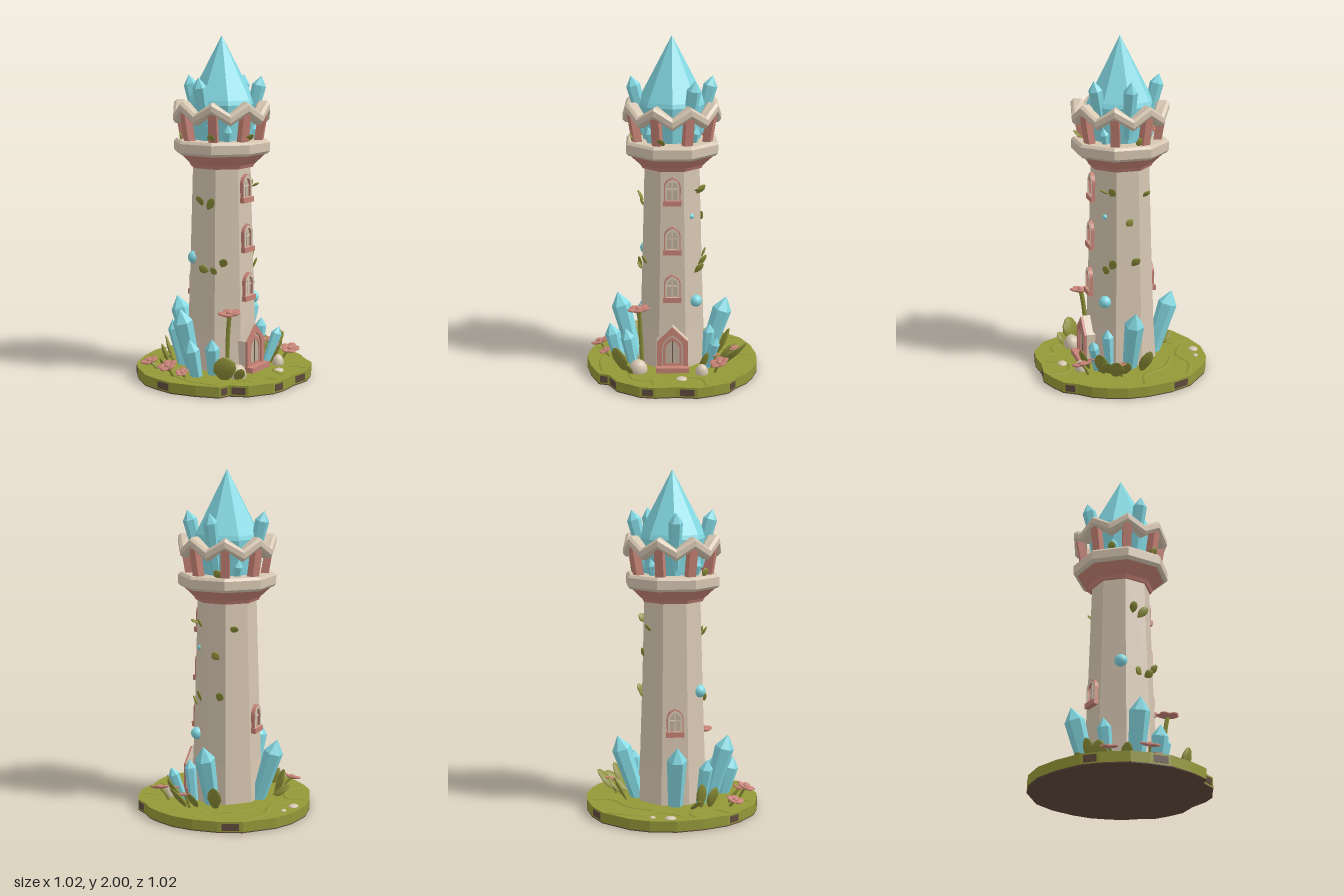
import * as THREE from 'three';
import { mergeGeometries } from 'three/addons/utils/BufferGeometryUtils.js';

const mat = (name, color) => Object.assign(new THREE.MeshStandardMaterial({ color }), { name });
const V = (x, y, z) => new THREE.Vector3(x, y, z);

// faceted normals
function flat(g) {
  const f = g.index ? g.toNonIndexed() : g;
  f.computeVertexNormals();
  return f;
}
const lathe = (pts, sides, start = 0) =>
  flat(new THREE.LatheGeometry(pts.map(p => new THREE.Vector2(...p)), sides, start));

// pointed arch outline
function arch(w, y0, ySpring, y1) {
  const s = new THREE.Shape();
  s.moveTo(-w, y0);
  s.lineTo(w, y0);
  s.lineTo(w, ySpring);
  s.quadraticCurveTo(w, (ySpring + y1 * 2) / 3, 0, y1);
  s.quadraticCurveTo(-w, (ySpring + y1 * 2) / 3, -w, ySpring);
  s.closePath();
  return s;
}
const extrude = (shape, depth) =>
  new THREE.ExtrudeGeometry(shape, { depth, bevelEnabled: false, curveSegments: 6 });

export function createModel() {
  const root = new THREE.Group();
  root.name = 'crystalTower';
  const stone = mat('stone', 0xd6c6b1), clay = mat('clayPink', 0xc78376), crystalBlue = mat('crystalBlue', 0x84dae4);
  const grass = mat('grass', 0x949838), leafGreen = mat('leafGreen', 0x8a8d37), soil = mat('soil', 0x604a3d);
  const pane = mat('shadedStone', 0xc2b19d), dark = mat('darkSeam', 0x6b594a);

  const add = (name, geo, material, parent = root) => {
    const m = new THREE.Mesh(geo, material);
    m.name = name;
    parent.add(m);
    return m;
  };

  // Island with an uneven rim
  const rim = [[-.02, -.51], [.1, -.505], [.21, -.47], [.29, -.43], [.36, -.365], [.43, -.32], [.47, -.24],
    [.505, -.14], [.49, -.02], [.5, .1], [.485, .19], [.45, .24], [.4, .32], [.3, .37], [.28, .43], [.15, .48],
    [0, .51], [-.12, .49], [-.22, .46], [-.35, .36], [-.42, .28], [-.48, .13], [-.51, -.02], [-.49, -.17],
    [-.44, -.28], [-.3, -.43], [-.17, -.485]];
  const rimShape = new THREE.Shape(rim.map(p => new THREE.Vector2(...p)));
  const slab = (name, top, depth, m) => add(name, extrude(rimShape, depth).rotateX(Math.PI / 2).translate(0, top, 0), m);
  slab('grassIsland', .065, .059, grass);
  slab('islandUnderside', .006, .006, soil);
  // bare soil patches on the rim
  for (const i of [4, 7, 9, 12, 13, 16, 19, 25]) {
    const [a, b] = [rim[i], rim[(i + 1) % rim.length]];
    const dx = b[0] - a[0], dz = b[1] - a[1];
    const p = add('soilPatch', new THREE.BoxGeometry(Math.hypot(dx, dz) * .7, .04, .006), soil);
    p.position.set((a[0] + b[0]) / 2, .034, (a[1] + b[1]) / 2);
    p.rotation.y = -Math.atan2(dz, dx);
  }
  // low ridges in the turf
  const ridges = [[[-.02, -.48], [-.05, -.36], [-.2, -.27], [-.28, -.14]], [[-.3, -.4], [-.36, -.25], [-.33, -.1], [-.4, .02]],
    [[.47, -.2], [.36, -.17], [.34, -.05], [.45, .02]], [[.46, .1], [.38, .12], [.36, .22], [.27, .25]],
    [[-.45, .1], [-.36, .08], [-.3, .22], [-.37, .3]], [[-.15, .45], [-.1, .38], [.08, .42], [.25, .4]]];
  for (const r of ridges) {
    const curve = new THREE.CatmullRomCurve3(r.map(([x, z]) => V(x, 0, z)));
    const m = add('turfRidge', new THREE.TubeGeometry(curve, 20, .018, 8), grass);
    m.scale.y = .45;
    m.position.y = .063;
  }

  // Octagonal shaft and collar, flats on the axes
  const k = 1 / Math.cos(Math.PI / 8), e = Math.PI / 8;
  const oct = pts => lathe(pts.map(([r, y]) => [r * k, y]), 8, e);
  add('towerShaft', oct([[.2, .05], [.186, .3], [.173, .7], [.158, 1.26]]), stone);
  add('collar', oct([[0, 1.245], [.17, 1.245], [.18, 1.265], [.245, 1.33], [0, 1.335]]), clay);
  add('balconyFloor', oct([[0, 1.325], [.25, 1.325], [.263, 1.34], [.263, 1.39], [.25, 1.405], [0, 1.405]]), stone);

  // Zigzag crown: one bevelled section swept through 16 stations
  const section = [[.208, .014], [.222, 0], [.268, 0], [.284, .018], [.284, .05], [.268, .066], [.222, .066], [.208, .052]];
  const pos = [], idx = [], n = section.length;
  for (let i = 0; i < 16; i++) {
    const a = i * Math.PI / 8, y = i % 2 ? 1.565 : 1.5;
    for (const [r, h] of section) pos.push(r * Math.sin(a), y + h, r * Math.cos(a));
  }
  for (let i = 0; i < 16; i++) for (let j = 0; j < n; j++) {
    const a = i * n + j, b = i * n + (j + 1) % n, c = ((i + 1) % 16) * n + j, d = ((i + 1) % 16) * n + (j + 1) % n;
    idx.push(a, c, b, b, c, d);
  }
  const crown = new THREE.BufferGeometry();
  crown.setAttribute('position', new THREE.Float32BufferAttribute(pos, 3));
  crown.setIndex(idx);
  add('zigzagCrown', flat(crown), stone);

  // Posts leaning out to the crown peaks
  for (let i = 0; i < 8; i++) {
    const pivot = new THREE.Group();
    pivot.name = 'crownPost';
    pivot.rotation.y = e + i * Math.PI / 4;
    root.add(pivot);
    const p = add('post', new THREE.BoxGeometry(.05, .18, .046), clay, pivot);
    p.position.set(0, 1.485, .232);
    p.rotation.x = .17;
  }

  // Crystals
  add('crystalRoof', lathe([[.165, 1.4], [.18, 1.5], [.2, 1.61], [.192, 1.635], [0, 2]], 8), crystalBlue);
  const up = V(0, 1, 0);
  function crystal(name, base, tip, r) {
    const dir = V(...tip).sub(V(...base)), h = dir.length();
    const m = add(name, lathe([[0, 0], [r * .72, 0], [r, h - r * 1.4], [0, h]], 6), crystalBlue);
    m.position.set(...base);
    m.quaternion.setFromUnitVectors(up, dir.normalize());
  }
  for (const [x, z] of [[-.235, 0], [.19, -.13], [0, .235], [0, -.235]])
    crystal('roofCrystal', [x * .64, 1.44, z * .64], [x, 1.77, z], .041);
  for (const [x, z] of [[.12, .12], [-.12, .12], [-.12, -.12], [.12, -.12]])
    crystal('balconyCrystal', [x, 1.4, z], [x * 1.15, 1.5, z * 1.15], .028);
  const ground = [[-.2, 0, -.325, .44, 0, .058], [0, -.2, 0, .44, -.325, .058], [-.04, .22, -.07, .45, .325, .058],
    [.04, .31, .03, .29, .37, .047], [.1, .23, .12, .285, .275, .042], [-.17, .15, -.225, .34, .185, .04],
    [.19, -.19, .24, .27, -.26, .032], [.12, -.2, .14, .32, -.22, .034]];
  for (const [bx, bz, tx, ty, tz, r] of ground) crystal('groundCrystal', [bx, .05, bz], [tx, ty, tz], r);
  for (const [x, y, z, r] of [[-.09, .72, .15, .038], [.13, .46, -.138, .036], [.12, .97, -.11, .016]])
    add('crystalOrb', new THREE.SphereGeometry(r, 16, 12), crystalBlue).position.set(x, y, z);

  // Windows: modelled facing +z, then turned to their wall
  function windowAt(y, angle, wall) {
    const g = new THREE.Group();
    g.name = 'window';
    root.add(g);
    g.rotation.y = angle;
    const frame = arch(.048, y - .065, y + .025, y + .082);
    frame.holes.push(arch(.03, y - .05, y + .02, y + .06));
    add('frame', extrude(frame, .05), clay, g).position.z = wall - .03;
    const face = arch(.042, y - .06, y + .024, y + .076);
    face.holes.push(arch(.03, y - .05, y + .02, y + .06));
    add('frameFace', extrude(face, .004), stone, g).position.z = wall + .019;
    add('pane', extrude(arch(.034, y - .06, y + .02, y + .064), .03), pane, g).position.z = wall - .024;
    add('mullion', new THREE.BoxGeometry(.008, .11, .008), stone, g).position.set(0, y, wall + .008);
    add('crossbar', new THREE.BoxGeometry(.06, .008, .008), stone, g).position.set(0, y + .012, wall + .008);
    add('sill', new THREE.BoxGeometry(.106, .03, .06), clay, g).position.set(0, y - .068, wall);
  }
  for (const [y, w] of [[.555, .178], [.84, .168], [1.13, .16]]) windowAt(y, Math.PI / 2, w);
  windowAt(.555, -Math.PI / 2, .178);

  // Gabled doorway on the left side
  const porch = new THREE.Group();
  porch.name = 'doorway';
  porch.rotation.y = Math.PI / 2;
  root.add(porch);
  const gable = (w, y0, eave, top) => new THREE.Shape([[-w, y0], [w, y0], [w, eave], [0, top], [-w, eave]].map(p => new THREE.Vector2(...p)));
  add('porchBody', extrude(gable(.092, .05, .245, .335), .13), stone, porch).position.z = .1;
  const doorFrame = gable(.09, .06, .243, .332);
  doorFrame.holes.push(arch(.062, .09, .2, .285));
  add('doorFrame', extrude(doorFrame, .014), clay, porch).position.z = .229;
  add('doorPanel', extrude(arch(.062, .09, .2, .285), .004), pane, porch).position.z = .228;
  const trim = arch(.054, .097, .197, .27);
  trim.holes.push(arch(.042, .11, .19, .25));
  add('doorTrim', extrude(trim, .006), clay, porch).position.z = .231;
  add('doorSeam', new THREE.BoxGeometry(.006, .15, .006), dark, porch).position.set(0, .175, .232);
  add('doorStep', new THREE.BoxGeometry(.19, .035, .08), clay, porch).position.set(0, .078, .24);

  // Leaves: a flattened bud from base to tip, broad side facing outward
  const leafGeo = new THREE.LatheGeometry([[0, 0], [.55, .2], [.95, .48], [.9, .7], [.5, .92], [0, 1]].map(p => new THREE.Vector2(...p)), 10);
  function leaf(name, b, t, w) {
    const dir = V(...t).sub(V(...b)), h = dir.length();
    dir.normalize();
    const x = dir.clone().cross(V(b[0], 0, b[2])).normalize();
    const m = add(name, leafGeo, leafGreen);
    m.quaternion.setFromRotationMatrix(new THREE.Matrix4().makeBasis(x, dir, x.clone().cross(dir)));
    m.scale.set(w, h, w * .28);
    m.position.set(...b);
  }
  const groundLeaves = [[.22, .28, .24, .21, .33, .072], [.27, .24, .32, .14, .27, .035], [-.24, .15, -.31, .22, .14, .04],
    [-.23, .2, -.28, .19, .22, .05], [-.24, .1, -.36, .13, .12, .04], [-.16, .31, -.18, .15, .37, .035],
    [-.05, -.27, -.08, .21, -.35, .045], [.12, -.3, .14, .2, -.44, .048], [.17, -.25, .22, .22, -.34, .045],
    [.14, -.24, .18, .18, -.39, .045], [.23, -.16, .3, .2, -.2, .03], [.06, -.28, .07, .17, -.38, .04]];
  for (const [bx, bz, tx, ty, tz, w] of groundLeaves) leaf('groundLeaf', [bx, .05, bz], [tx, ty, tz], w);
  const wallLeaves = [[.01, 1.01, .165, .07, 1.08, .185], [.03, .65, .175, -.02, .68, .2], [.05, .64, .175, .09, .68, .2],
    [.1, .68, .15, .14, .735, .17], [-.02, 1.03, .165, -.03, 1.09, .2], [.1, 1.1, -.14, .09, 1.15, -.19],
    [.12, 1.12, -.13, .15, 1.14, -.17], [.1, .66, -.15, .09, .73, -.2], [.13, .63, -.13, .13, .69, -.18],
    [-.02, .68, -.175, -.06, .73, -.2], [-.1, 1.08, -.14, -.13, 1.12, -.16], [-.03, .92, -.165, .01, .96, -.18]];
  for (const l of wallLeaves) leaf('vineLeaf', l.slice(0, 3), l.slice(3), .027);
  for (const [x, z] of [[.06, .21], [-.17, .16], [.2, .06], [-.06, -.21]])
    leaf('balconyLeaf', [x, 1.4, z], [x * 1.15 + .03, 1.45, z * 1.15], .026);

  // Five-petal flowers on stems
  const petals = [new THREE.SphereGeometry(.3, 8, 6).scale(1, .6, 1).translate(0, .14, 0)];
  for (let i = 0; i < 5; i++)
    petals.push(new THREE.SphereGeometry(.48, 10, 6).scale(1, .3, .95).rotateZ(.2).translate(.52, .05, 0).rotateY(i * Math.PI * .4));
  const flowerGeo = mergeGeometries(petals);
  const flowers = [[-.28, .11, .34, .055], [-.08, .13, .43, .06], [0, .1, .4, .042], [.31, .14, -.27, .06],
    [.1, .15, -.36, .04], [.19, .425, .195, .07], [.22, .15, -.25, .03]];
  flowers.forEach(([x, y, z, s], i) => {
    const f = add('flower', flowerGeo, clay);
    f.position.set(x, y, z);
    f.scale.setScalar(s);
    f.rotation.set(.25, i, .15);
    const bend = new THREE.QuadraticBezierCurve3(V(x * .85, .05, z * .9), V(x * .86, y * .7, z * .95), V(x, y, z));
    add('flowerStem', new THREE.TubeGeometry(bend, 8, y > .3 ? .014 : .008, 6), leafGreen);
  });

  // Rocks
  const rocks = [[.25, .08, .2, .055, .06], [.29, .075, -.17, .038, .05], [.37, .064, -.05, .034, .016],
    [-.45, .064, -.05, .034, .014], [-.43, .064, -.15, .018, .012]];
  for (const [x, y, z, r, h] of rocks) {
    const m = add('rock', new THREE.SphereGeometry(1, 12, 8), stone);
    m.position.set(x, y, z);
    m.scale.set(r * .85, h, r);
  }
  return root;
}
